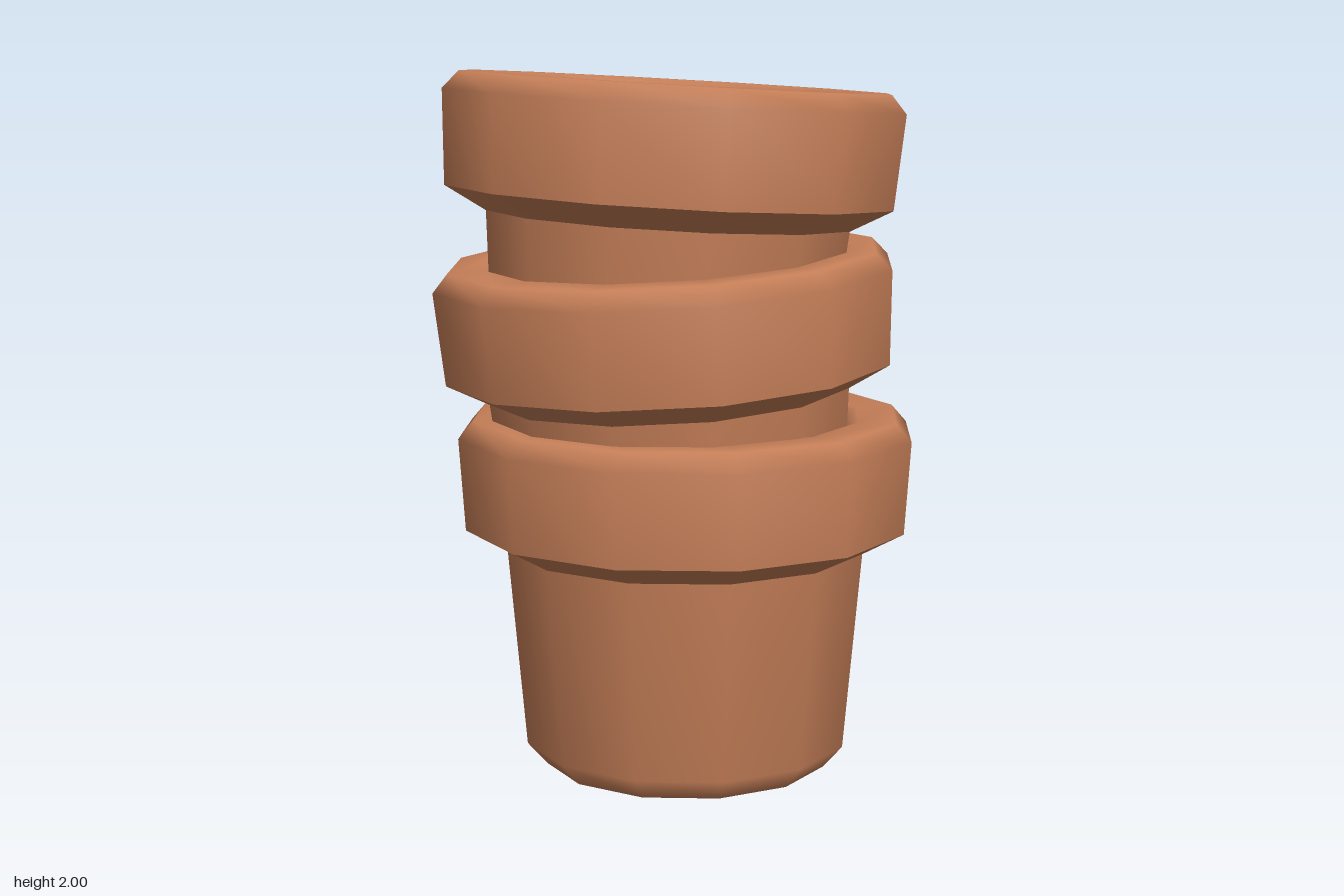
import * as THREE from 'three';

const SIDES = 12;
const terracotta = new THREE.MeshStandardMaterial({ color: 0xc67f58 });
terracotta.name = 'terracotta';

// Twelve-sided ring of surface; radii are measured to the middle of the flat sides
function turned(name, profile) {
  const k = 1 / Math.cos(Math.PI / SIDES);
  const points = profile.map(([r, y]) => new THREE.Vector2(r * k, y));
  const mesh = new THREE.Mesh(
    new THREE.LatheGeometry(points, SIDES, Math.PI / SIDES),
    terracotta
  );
  mesh.name = name;
  return mesh;
}

// One pot, standing on its own base; parts are split where the edges are sharp
function makePot(name) {
  const pot = new THREE.Group();
  pot.name = name;
  pot.add(
    turned('base', [[0, 0], [0.4, 0]]),
    turned('body', [[0.4, 0], [0.455, 0.065], [0.505, 0.64]]),
    turned('rimUnderside', [[0.505, 0.64], [0.62, 0.705]]),
    turned('rimAndInnerWall', [
      [0.62, 0.705], [0.6375, 0.97], [0.595, 1.02],
      [0.49, 1.02], [0.425, 0.97], [0.35, 0.04],
    ]),
    turned('innerFloor', [[0.35, 0.04], [0, 0.04]])
  );
  return pot;
}

export function createModel() {
  const model = new THREE.Group();
  model.name = 'stackedPots';

  // Nested pots, the upper two leaning opposite ways: name, x, y, tilt
  const stack = [
    ['bottomPot', 0.035, 0, 0],
    ['middlePot', 0.025, 0.46, 0.0636],
    ['topPot', -0.06, 0.945, -0.0636],
  ];
  for (const [name, x, y, tilt] of stack) {
    const pot = makePot(name);
    pot.position.set(x, y, 0);
    pot.rotation.z = tilt;
    model.add(pot);
  }
  return model;
}
